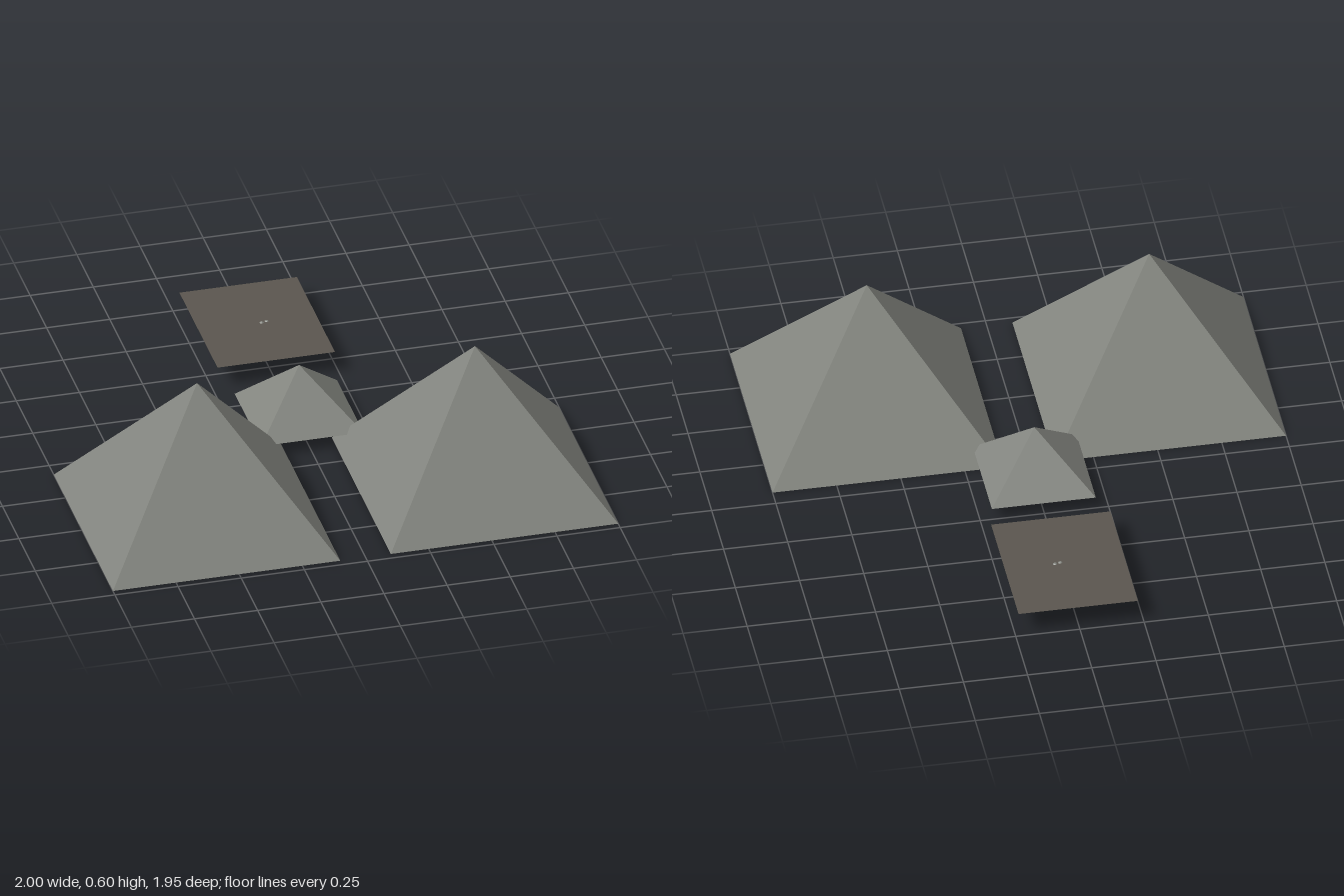
import * as THREE from 'three';

export function createModel() {
  const model = new THREE.Group();
  const stone = new THREE.MeshStandardMaterial({ color: 0x83857f, flatShading: true });
  stone.name = 'greyStone';
  const earth = new THREE.MeshStandardMaterial({ color: 0x5a554e, side: THREE.DoubleSide });
  earth.name = 'brownEarth';

  // Closed square pyramid with its base centre at (x, y, z)
  function pyramid(name, width, height, x, y, z) {
    const geometry = new THREE.ConeGeometry(width / Math.SQRT2, height, 4, 1, false, Math.PI / 4);
    const mesh = new THREE.Mesh(geometry, stone);
    mesh.name = name;
    mesh.position.set(x, y + height / 2, z);
    model.add(mesh);
  }

  // Two large pyramids side by side, and a small raised one behind them
  pyramid('leftPyramid', 0.9, 0.6, 0.55, 0, 0.52);
  pyramid('rightPyramid', 0.9, 0.6, -0.55, 0, 0.52);
  pyramid('smallPyramid', 0.405, 0.215, 0.003, 0.053, -0.052);

  // Flat ground panel at the back
  const panel = new THREE.Mesh(new THREE.PlaneGeometry(0.465, 0.58), earth);
  panel.name = 'groundPanel';
  panel.rotation.x = -Math.PI / 2;
  panel.position.set(0.003, 0.09, -0.69);
  model.add(panel);

  // Two tiny pebbles lying on the panel
  for (const [x, z] of [[0.019, -0.685], [0.04, -0.69]]) {
    const pebble = new THREE.Mesh(new THREE.CylinderGeometry(0.005, 0.009, 0.003, 6), stone);
    pebble.name = 'pebble';
    pebble.position.set(x, 0.0915, z);
    model.add(pebble);
  }

  return model;
}
